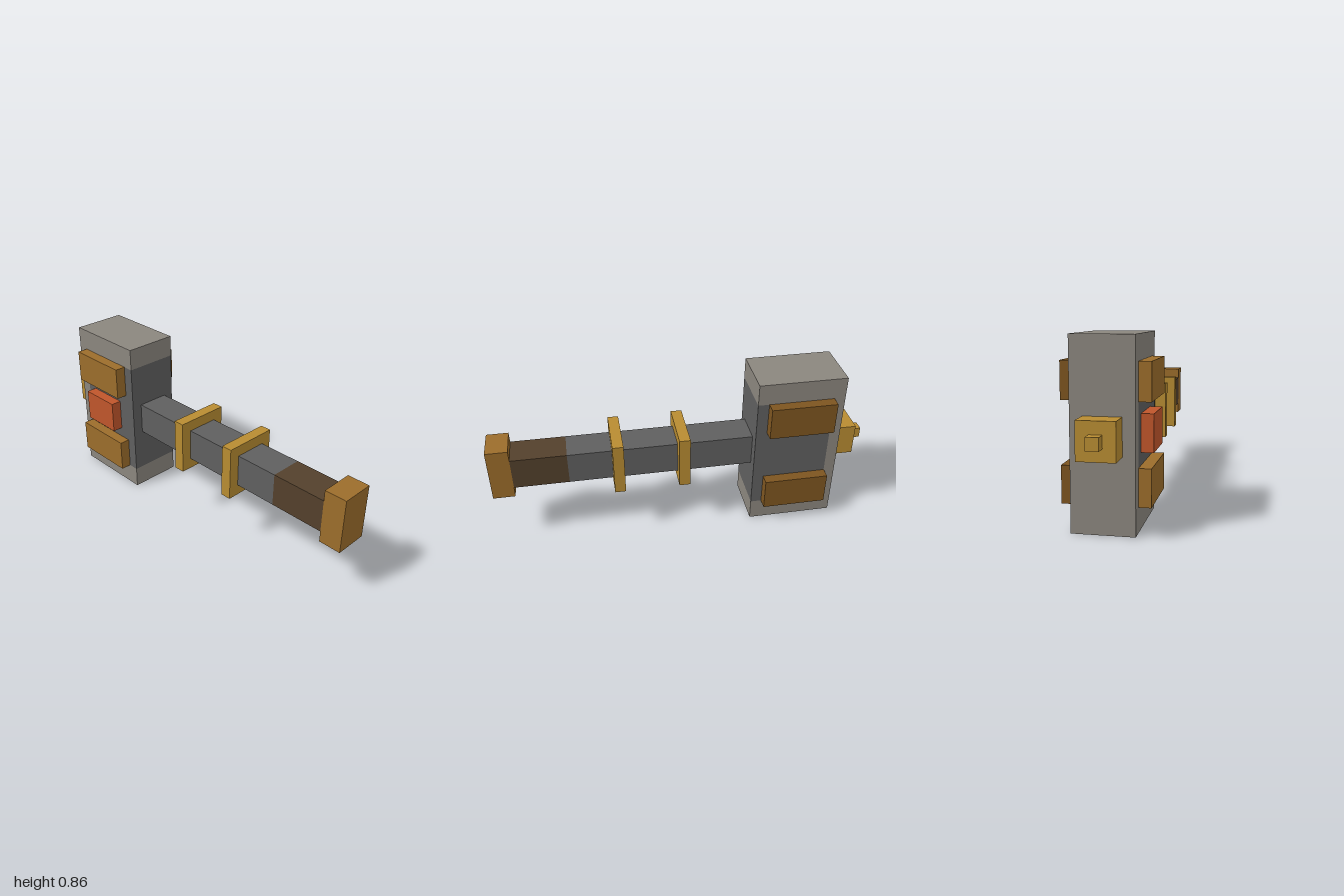
import * as THREE from 'three';

const mat = (name, color) => {
  const m = new THREE.MeshStandardMaterial({ color });
  m.name = name;
  return m;
};

export function createModel() {
  const group = new THREE.Group();
  const stone = mat('light stone', 0x8b867e);
  const iron = mat('dark iron', 0x5f5f5f);
  const gold = mat('gold', 0xb88c32);
  const bronze = mat('bronze', 0x9c6d2b);
  const darkBronze = mat('dark bronze', 0x7d5520);
  const leather = mat('grip leather', 0x53402c);
  const red = mat('red gem', 0xc0562b);

  // Box given by its [min, max] range on each axis
  const block = (name, material, [x0, x1], [y0, y1], [z0, z1]) => {
    const mesh = new THREE.Mesh(new THREE.BoxGeometry(x1 - x0, y1 - y0, z1 - z0), material);
    mesh.position.set((x0 + x1) / 2, (y0 + y1) / 2, (z0 + z1) / 2);
    mesh.name = name;
    group.add(mesh);
  };

  const wide = [-0.143, 0.143], narrow = [-0.086, 0.086];
  const tall = [0.286, 0.571], mid = [0.343, 0.514];

  // Head: stone caps and back slab around an iron core
  block('headBottom', stone, wide, [0, 0.114], [-0.829, -0.371]);
  block('headTop', stone, wide, [0.743, 0.857], [-0.829, -0.371]);
  block('headBack', stone, wide, [0.114, 0.743], [-0.829, -0.771]);
  block('headCore', iron, wide, [0.114, 0.743], [-0.771, -0.371]);

  // Side straps, two on each face
  for (const y of [[0.114, 0.286], [0.571, 0.743]]) {
    block('strapLeft', darkBronze, [0.143, 0.2], y, [-0.771, -0.429]);
    block('strapRight', bronze, [-0.2, -0.143], y, [-0.771, -0.429]);
  }
  block('gem', red, [-0.2, -0.143], mid, [-0.714, -0.486]);

  // Rear stud and its tip
  block('stud', gold, narrow, mid, [-0.943, -0.829]);
  block('studTip', gold, [-0.029, 0.029], [0.4, 0.457], [-1, -0.943]);

  // Handle, collars, grip and pommel
  block('shaft', iron, narrow, mid, [-0.371, 0.6]);
  block('grip', leather, narrow, mid, [0.6, 0.886]);
  for (const z of [[-0.029, 0.029], [0.314, 0.371]]) block('collar', gold, wide, tall, z);
  block('pommel', bronze, narrow, tall, [0.886, 1]);

  return group;
}
